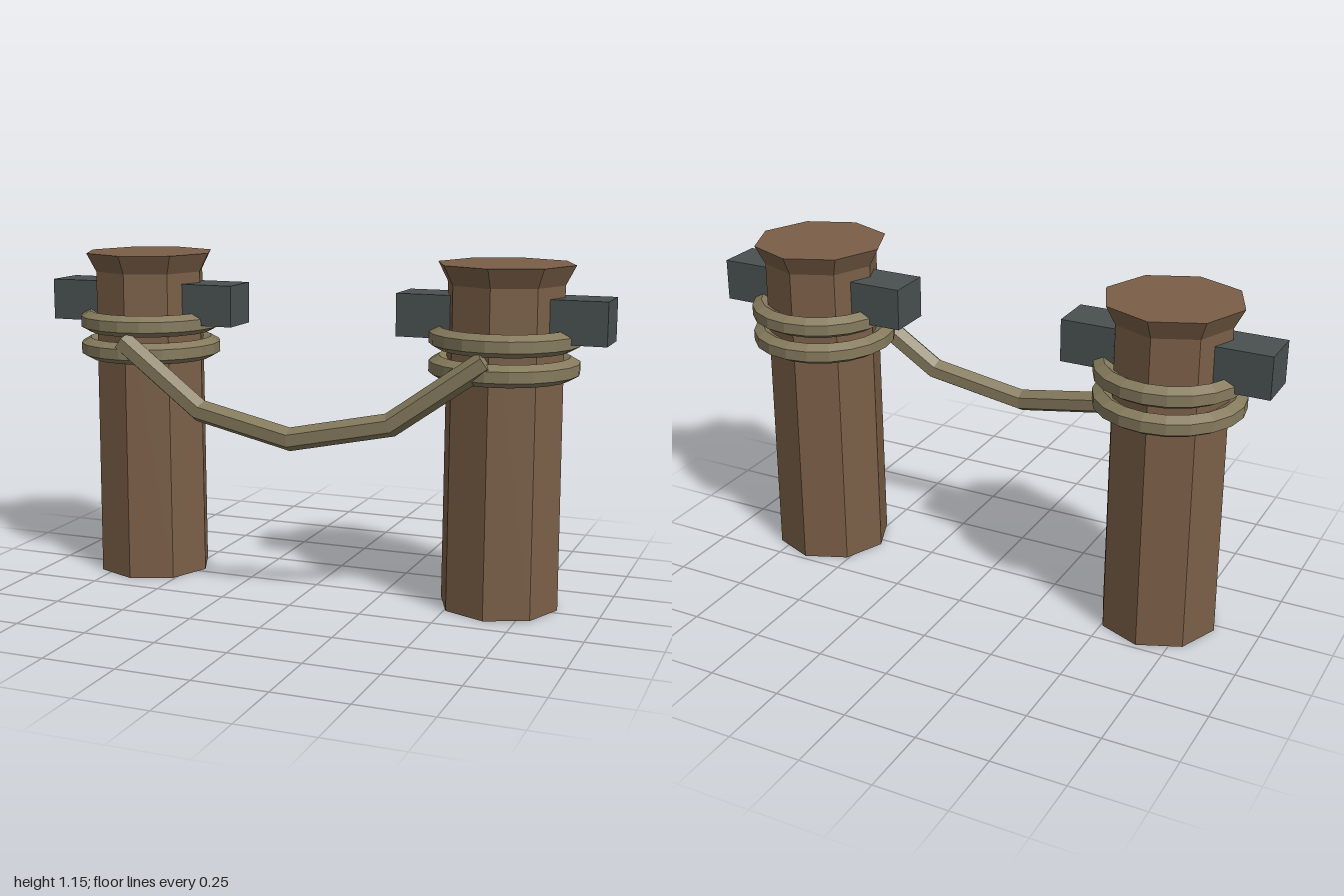
import * as THREE from 'three';

const flat = (color) => new THREE.MeshStandardMaterial({ color, flatShading: true });
const wood = flat(0x7a5f47);
const ropeMat = flat(0x857a5d);
const iron = flat(0x4a5150);

const POST_X = 0.65, POST_Z = -0.03, ROPE_R = 0.04;

function part(name, geometry, material, y = 0) {
  const mesh = new THREE.Mesh(geometry, material);
  mesh.name = name;
  mesh.position.y = y;
  return mesh;
}

// Hexagonal ring wound around a post
function ringGeometry(radius, r) {
  const profile = [];
  for (let i = 0; i <= 6; i++) {
    const a = -Math.PI / 6 + (i * Math.PI) / 3;
    profile.push(new THREE.Vector2(radius + r * Math.cos(a), r * Math.sin(a)));
  }
  return new THREE.LatheGeometry(profile, 20);
}

// Hexagonal section swept along a polyline running towards +x
function ropeGeometry(path, r, sides = 6) {
  const pos = [], index = [], n = path.length;
  path.forEach((p, i) => {
    const t = path[Math.min(i + 1, n - 1)].clone().sub(path[Math.max(i - 1, 0)]).normalize();
    const side = t.clone().cross(new THREE.Vector3(0, 1, 0)).normalize();
    const up = side.clone().cross(t);
    for (let j = 0; j < sides; j++) {
      const a = (j / sides) * Math.PI * 2;
      const v = p.clone().addScaledVector(up, r * Math.cos(a)).addScaledVector(side, r * Math.sin(a));
      pos.push(v.x, v.y, v.z);
    }
  });
  for (let i = 0; i < n - 1; i++) {
    for (let j = 0; j < sides; j++) {
      const k = (j + 1) % sides;
      const a = i * sides + j, b = i * sides + k;
      index.push(a, b, a + sides, b, b + sides, a + sides);
    }
  }
  // End caps
  const last = (n - 1) * sides;
  for (let j = 1; j < sides - 1; j++) {
    index.push(0, j + 1, j, last, last + j, last + j + 1);
  }
  const g = new THREE.BufferGeometry();
  g.setAttribute('position', new THREE.Float32BufferAttribute(pos, 3));
  g.setIndex(index);
  g.computeVertexNormals();
  return g;
}

function createBollard(name) {
  const group = new THREE.Group();
  group.name = name;
  // Eight-sided post with a flared head
  const profile = [[0, 0], [0.202, 0], [0.196, 1.085], [0.23, 1.15], [0, 1.15]]
    .map(([x, y]) => new THREE.Vector2(x, y));
  group.add(part('post', new THREE.LatheGeometry(profile, 8), wood));
  // Cross bar through the post
  group.add(part('crossBar', new THREE.BoxGeometry(0.7, 0.143, 0.155), iron, 0.975));
  // Two turns of rope
  group.add(part('upperRopeRing', ringGeometry(0.216, 0.037), ropeMat, 0.908));
  group.add(part('lowerRopeRing', ringGeometry(0.216, 0.037), ropeMat, 0.813));
  return group;
}

export function createModel() {
  const model = new THREE.Group();
  model.name = 'ropedBollards';
  for (const s of [-1, 1]) {
    const bollard = createBollard(s > 0 ? 'leftBollard' : 'rightBollard');
    bollard.position.set(s * POST_X, 0, POST_Z);
    model.add(bollard);
  }
  // Slack rope hanging between the posts
  const path = [[-0.645, 0.855, 0.185], [-0.34, 0.638, 0.213], [0, 0.57, 0.24],
    [0.34, 0.638, 0.213], [0.645, 0.855, 0.185]].map((p) => new THREE.Vector3(...p));
  model.add(part('hangingRope', ropeGeometry(path, ROPE_R), ropeMat));
  return model;
}
